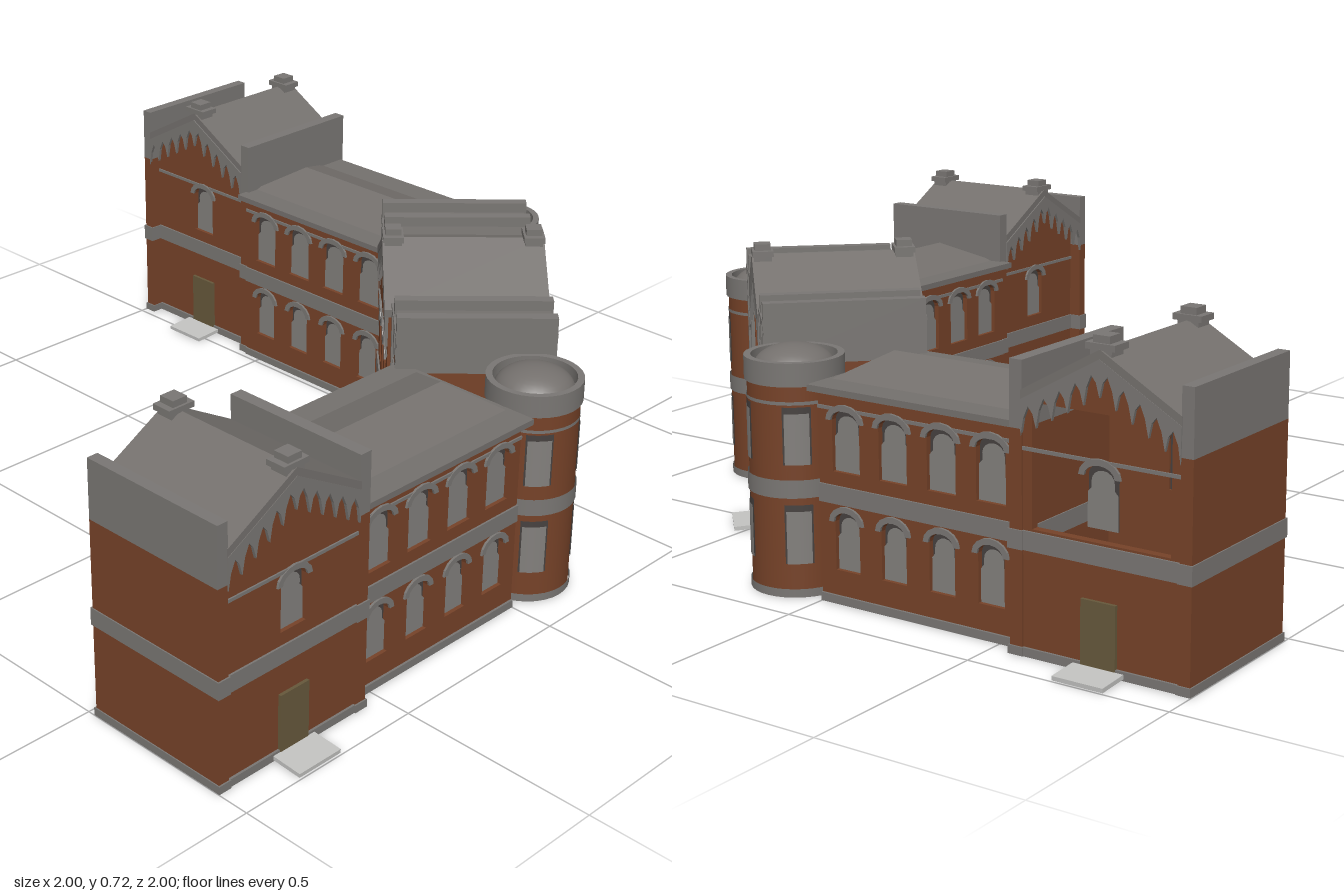
import * as THREE from 'three';

const mat = (name, color, side = THREE.FrontSide) => {
  const m = new THREE.MeshStandardMaterial({ color, side });
  m.name = name;
  return m;
};
const brick = mat('brick', 0x764228, THREE.DoubleSide);
const stone = mat('grey stone', 0x797673, THREE.DoubleSide);
const slate = mat('roof slate', 0x74706d);
const glass = mat('window grey', 0x827f7c, THREE.DoubleSide);
const dark = mat('dark frame', 0x46413f, THREE.DoubleSide);
const wood = mat('door wood', 0x66583b);
const pale = mat('pale step', 0xc2c2c0);

const add = (parent, name, geo, material, x = 0, y = 0, z = 0) => {
  const m = new THREE.Mesh(geo, material);
  m.name = name;
  m.position.set(x, y, z);
  parent.add(m);
  return m;
};
// Box given by its extents
const box = (parent, name, material, x0, x1, y0, y1, z0, z1) =>
  add(parent, name, new THREE.BoxGeometry(Math.abs(x1 - x0), y1 - y0, z1 - z0), material,
    (x0 + x1) / 2, (y0 + y1) / 2, (z0 + z1) / 2);
const poly = (pts) => new THREE.Shape(pts.map(([x, y]) => new THREE.Vector2(x, y)));
const slab = (shape, depth) => new THREE.ExtrudeGeometry(shape, { depth, bevelEnabled: false });
const group = (parent, name) => {
  const g = new THREE.Group();
  g.name = name;
  parent.add(g);
  return g;
};

// Curved head of an opening, widened by e
const head = (x, top, w, e = 0) => {
  const pts = [];
  for (let i = 0; i <= 8; i++) {
    const t = (i / 8) * Math.PI;
    pts.push([x + Math.cos(t) * (w / 2 + e), top - 0.025 + Math.sin(t) * (0.025 + e)]);
  }
  return pts;
};
const arch = (x, y, w, h) => poly([[x - w / 2, y], [x + w / 2, y], ...head(x, y + h, w)]);
const hood = (x, top, w) => poly([...head(x, top, w, 0.014), ...head(x, top, w).reverse()]);
// Pane that narrows under its head
const pane = (x, y, w, h) => poly([[x - w / 2, y], [x + w / 2, y], [x + w / 2, y + h * 0.55],
  [x + w * 0.38, y + h * 0.62], ...head(x, y + h - 0.014, w * 0.76), [x - w * 0.38, y + h * 0.62], [x - w / 2, y + h * 0.55]]);

// Hanging pendants under a gable rake
const tracery = (W, eave, apex) => {
  const rake = (x) => apex - (apex - eave) * Math.abs(x) / W;
  const pts = [[W, eave], [0, apex], [-W, eave]];
  const n = 10, step = (2 * W) / n;
  for (let i = 0; i < n; i++)
    for (const [f, drop] of [[0.02, 0.08], [0.2, 0.045], [0.5, 0.024], [0.8, 0.045]]) {
      const x = -W + (i + f) * step;
      pts.push([x, rake(x) - drop]);
    }
  pts.push([W - 0.002, eave - 0.08]);
  return poly(pts);
};

// One wall with windows, courses and optional gable, facing +z (or -z when back);
// opening is a large hole, in which windows may stand free
const facade = (parent, name, o) => {
  const g = group(parent, name);
  g.position.set(o.cx, 0, o.z);
  if (o.back) g.rotation.y = Math.PI;
  const W = o.w / 2, h = o.h ?? 0.5;
  const shape = poly([[-W, 0], [W, 0], [W, h], ...(o.apex ? [[0, o.apex]] : []), [-W, h]]);
  if (!o.free)
    for (const w of o.windows) shape.holes.push(new THREE.Path(arch(...w).getPoints()));
  if (o.opening) {
    const [x0, x1, y0, y1] = o.opening;
    shape.holes.push(new THREE.Path(poly([[x0, y0], [x1, y0], [x1, y1], [x0, y1]]).getPoints()));
  }
  add(g, 'brickWall', slab(shape, 0.02), brick, 0, 0, -0.02);
  for (const [x, y, w, hh] of o.windows) {
    add(g, 'windowHood', slab(hood(x, y + hh, w), 0.006), stone);
    if (o.unglazed) continue;
    add(g, 'windowFrame', new THREE.ShapeGeometry(arch(x, y, w, hh)), dark, 0, 0, -0.014);
    add(g, 'windowPane', new THREE.ShapeGeometry(pane(x, y, w, hh)), glass, 0, 0, -0.01);
  }
  if (!o.noPlinth) box(g, 'plinth', stone, -W, W, 0, 0.02, 0, 0.006);
  box(g, 'floorBand', stone, -W, W, 0.237, 0.28, 0, 0.005);
  box(g, 'stringCourse', stone, -W, W, 0.455, 0.463, 0, 0.004);
  if (o.apex) add(g, 'gableTracery', slab(tracery(W, h, o.apex), 0.008), stone, 0, 0, o.out);
  if (o.door) {
    box(g, 'door', wood, -0.043, 0.043, 0.015, 0.16, 0, o.doorOut ?? 0.008);
    box(g, 'doorStep', pale, -0.063, 0.063, 0.002, 0.012, 0, o.step ?? 0.085).rotation.x = 0.06;
  }
  return g;
};

// Folded roof with its ridge along z
const gableRoof = (parent, cx, W, eave, apex, z0, z1) => {
  const t = 0.02;
  const s = poly([[-W, eave], [0, apex], [W, eave], [W, eave + t], [0, apex + t], [-W, eave + t]]);
  add(parent, 'gableRoof', slab(s, z1 - z0), slate, cx, 0, z0);
  for (const z of [z0 + 0.027, z1 - 0.027])
    for (const [n, r, y0, y1, d] of [['ridgeBlock', 0.026, -0.02, 0.03, 0.022], ['ridgeCap', 0.036, 0.018, 0.032, 0.026], ['ridgeTop', 0.02, 0.032, 0.048, 0.02]])
      box(parent, n, stone, cx - r, cx + r, apex + y0, apex + y1, z - d, z + d);
};

// Cross wall: brick below, stone parapet above
const crossWall = (parent, x0, x1, z0, z1) => {
  const a = Math.min(x0, x1), b = Math.max(x0, x1);
  box(parent, 'endWall', brick, a, b, 0, 0.5, z0, z1);
  box(parent, 'parapet', stone, a, b, 0.5, 0.648, z0, z1);
  for (const [y0, y1] of [[0, 0.02], [0.237, 0.28]])
    box(parent, 'endBand', stone, a - 0.003, b + 0.003, y0, y1, z0 - 0.004, z1 + 0.004);
};

// Corner turret, open underneath
const turret = (parent, x, z) => {
  const t = group(parent, 'turret');
  t.position.set(x, 0, z);
  const ring = (n, m, r, y0, y1, sides = 32, start = 0, arc = Math.PI * 2) =>
    add(t, n, new THREE.CylinderGeometry(r, r, y1 - y0, sides, 1, true, start, arc), m, 0, (y0 + y1) / 2, 0);
  ring('turretWall', brick, 0.11, 0, 0.5);
  ring('turretPlinth', stone, 0.114, 0, 0.02);
  ring('turretBand', stone, 0.114, 0.237, 0.28);
  ring('turretString', stone, 0.112, 0.455, 0.463);
  const rim = [[0.108, 0.498], [0.116, 0.498], [0.116, 0.553], [0.1, 0.553], [0.1, 0.52], [0, 0.52]];
  for (let i = 1; i < rim.length; i++)
    add(t, 'turretParapet', new THREE.LatheGeometry(
      [rim[i - 1], rim[i]].map(([r, y]) => new THREE.Vector2(r, y)), 32), stone);
  add(t, 'turretDome', new THREE.SphereGeometry(0.096, 28, 10, 0, Math.PI * 2, 0, Math.PI / 2),
    slate, 0, 0.52, 0).scale.y = 0.58;
  for (const mid of [-0.73, 0.73])
    for (const [y0, y1] of [[0.08, 0.22], [0.315, 0.45]]) {
      ring('turretFrame', dark, 0.1112, y0, y1, 6, mid - 0.3, 0.6);
      ring('turretPane', glass, 0.1125, y0, y1 - 0.015, 6, mid - 0.26, 0.52);
    }
};

// Side wing with end pavilion and corner turret; s is the direction it runs in
const wing = (parent, name, s, turn) => {
  const g = group(parent, name);
  g.rotation.y = turn;
  const px = s * 0.775;
  const windows = [-0.2, -0.067, 0.067, 0.2].flatMap((x) => [[x, 0.312, 0.078, 0.145], [x, 0.08, 0.07, 0.14]]);
  for (const back of [false, true]) {
    const free = s > 0 && !back;
    facade(g, back ? 'pavilionBack' : 'pavilionFront', {
      cx: px, z: back ? 0.557 : 0.91, back, w: 0.39, h: 0.565, apex: 0.675, door: true, out: back ? 0.03 : 0,
      windows: [[0, 0.312, 0.075, 0.14]], free, opening: free && [-0.17, 0.17, 0.285, 0.56],
    });
    facade(g, back ? 'rangeBack' : 'rangeFront', { cx: s * 0.277, z: back ? 0.52 : 0.88, back, w: 0.555, windows });
  }
  gableRoof(g, px, 0.195, 0.565, 0.675, 0.522, 0.917);
  crossWall(g, s * 0.968, s * 0.997, 0.523, 0.915);
  crossWall(g, s * 0.55, s * 0.582, 0.523, 0.915);
  box(g, 'rangeEndWall', brick, 0, s * 0.012, 0, 0.5, 0.525, 0.875);

  // Range roof: flat eaves and a low hipped top
  box(g, 'rangeEaves', slate, s * -0.01, s * 0.56, 0.497, 0.512, 0.49, 0.907);
  const hip = new THREE.BoxGeometry(0.56, 0.05, 0.28).toNonIndexed();
  const p = hip.attributes.position;
  for (let i = 0; i < p.count; i++)
    if (p.getY(i) > 0) p.setXYZ(i, Math.sign(p.getX(i)) * 0.207, 0.025, 0);
  hip.computeVertexNormals();
  add(g, 'rangeHipRoof', hip, slate, s * 0.28, 0.536, 0.695);
  turret(g, s * -0.125, 0.815);
};

export function createModel() {
  const model = new THREE.Group();
  model.name = 'building';
  wing(model, 'rightWing', -1, 0);
  wing(model, 'leftWing', 1, Math.PI / 2);

  // Diagonal centre block: open front gable over a porch, wide opening behind
  const c = group(model, 'centreBlock');
  c.rotation.y = Math.PI / 4;
  const row = (w) => [-0.11, 0, 0.11].map((x) => [x, 0.3, w, 0.155]);
  const gable = { cx: 0, w: 0.4, h: 0.565, apex: 0.675, door: true };
  const front = facade(c, 'centreFront', {
    ...gable, z: 0.7, out: 0.024, windows: row(0.084), free: true, unglazed: true,
    opening: [-0.18, 0.18, 0.285, 0.56], doorOut: 0.036, step: 0.1,
  });
  for (const x of [-0.165, -0.055, 0.055, 0.165])
    box(front, 'windowPier', brick, x - 0.013, x + 0.013, 0.28, 0.455, -0.02, 0);
  box(front, 'porchWall', brick, -0.17, 0.17, 0, 0.24, 0.02, 0.03);
  box(front, 'porchCoping', stone, -0.172, 0.172, 0.237, 0.247, 0, 0.033);
  for (let i = 0; i < 3; i++)
    box(front, 'gableSlat', stone, -0.075, 0.075, 0.5 + i * 0.018, 0.509 + i * 0.018, 0, 0.012);
  const rear = facade(c, 'centreBack', {
    ...gable, z: 0.335, back: true, out: 0, windows: row(0.075), step: 0.078,
    opening: [-0.18, 0.18, 0.008, 0.225], noPlinth: true,
  });
  for (const x of [-0.11, 0.11]) box(rear, 'openingPier', brick, x - 0.018, x + 0.018, 0.1, 0.225, -0.02, 0);
  gableRoof(c, 0, 0.2, 0.565, 0.675, 0.325, 0.732);

  // Side bays with flat roofs between parapets
  for (const s of [-1, 1]) {
    for (const back of [false, true]) {
      const f = facade(c, back ? 'bayBack' : 'bayFront', {
        cx: s * 0.287, z: back ? 0.35 : 0.722, back, w: 0.176,
        windows: [[0, 0.312, 0.078, 0.145], [0, 0.08, 0.07, 0.14]],
      });
      for (const x of [-0.078, 0.078]) box(f, 'bayPilaster', stone, x - 0.01, x + 0.01, 0.28, 0.6, -0.01, 0.007);
      box(f, 'bayCornice', stone, -0.088, 0.088, 0.592, 0.603, -0.01, 0.008);
    }
    box(c, 'bayRoof', slate, s * 0.195, s * 0.374, 0.5, 0.62, 0.35, 0.722);
    for (const a of [0.25, 0.35])
      box(c, 'bayParapet', stone, s * a, s * (a + 0.029), 0.5, 0.646, 0.345, 0.728);
    for (const a of [0.19, 0.36])
      box(c, 'baySideWall', brick, s * a, s * (a + 0.016), 0, 0.5, 0.352, 0.72);
  }
  return model;
}
